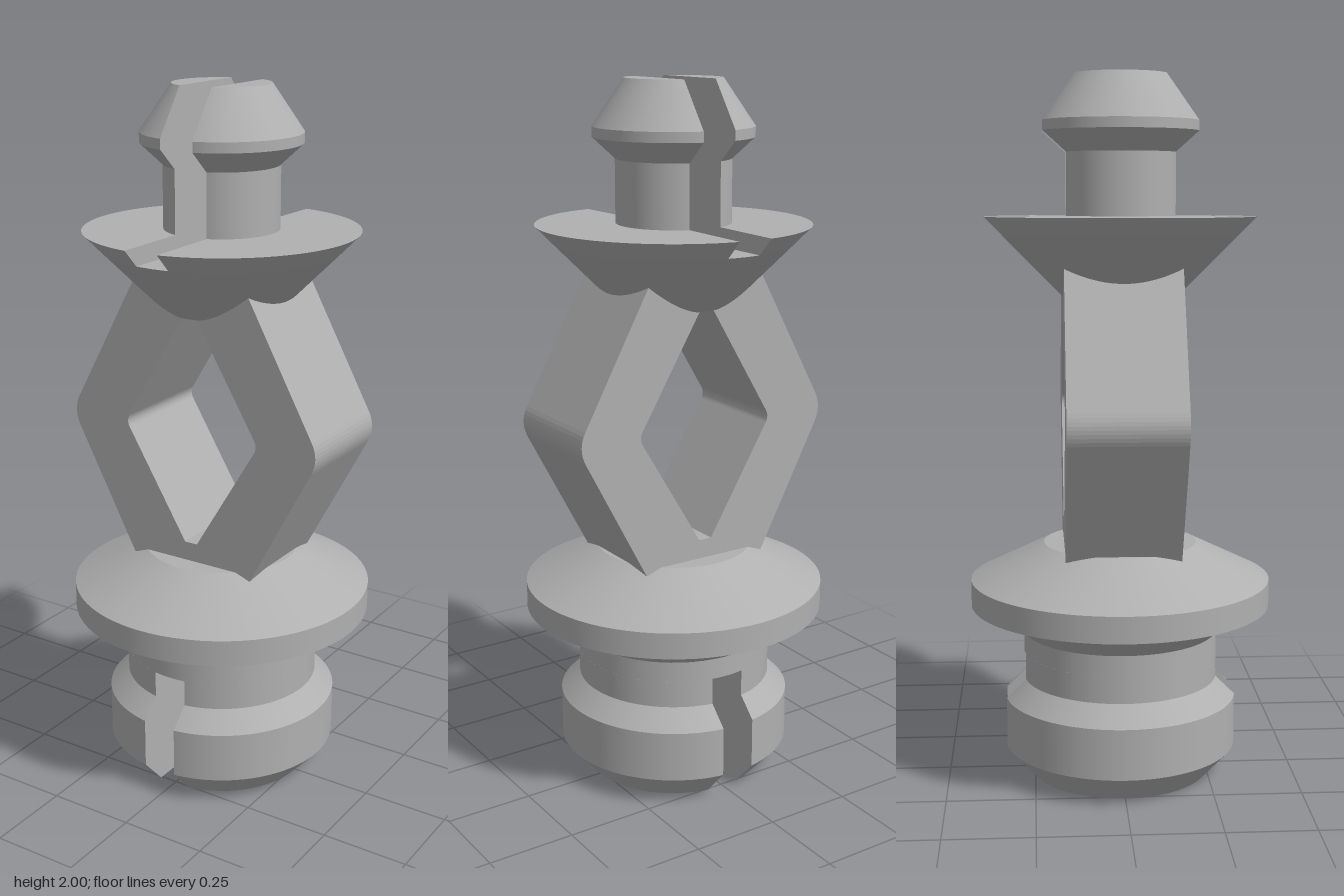
import * as THREE from 'three';

const SEG = 72;
const SLOT = 0.05; // half width of the screwdriver-like slots

// Revolved solid from [radius, y] pairs (bottom to top), with crisp profile edges.
// With cut > 0 only the part with x > cut is built, closed by a flat wall.
function revolve(profile, cut = 0) {
  const pos = [], nor = [], idx = [];
  const span = r => (cut ? Math.acos(Math.min(1, cut / r)) : Math.PI);
  const half = r => Math.sqrt(Math.max(0, r * r - cut * cut));
  for (let k = 0; k < profile.length - 1; k++) {
    const [r1, y1] = profile[k], [r2, y2] = profile[k + 1];
    const len = Math.hypot(r2 - r1, y2 - y1);
    const nr = (y2 - y1) / len, ny = (r1 - r2) / len;
    const base = pos.length / 3;
    for (let i = 0; i <= SEG; i++) {
      for (const [r, y] of [profile[k], profile[k + 1]]) {
        const a = span(r) * (2 * i / SEG - 1);
        pos.push(r * Math.cos(a), y, r * Math.sin(a));
        nor.push(nr * Math.cos(a), ny, nr * Math.sin(a));
      }
      if (i < SEG) {
        const p = base + 2 * i;
        idx.push(p, p + 1, p + 2, p + 2, p + 1, p + 3);
      }
    }
    // flat slot wall
    if (cut && y1 !== y2) {
      const b = pos.length / 3, w1 = half(r1), w2 = half(r2);
      pos.push(cut, y1, -w1, cut, y1, w1, cut, y2, w2, cut, y2, -w2);
      for (let i = 0; i < 4; i++) nor.push(-1, 0, 0);
      idx.push(b, b + 1, b + 2, b, b + 2, b + 3);
    }
  }
  const g = new THREE.BufferGeometry();
  g.setAttribute('position', new THREE.Float32BufferAttribute(pos, 3));
  g.setAttribute('normal', new THREE.Float32BufferAttribute(nor, 3));
  g.setIndex(idx);
  return g;
}

// Mirror-symmetric outline: right side given bottom to top, with a rounded bend in the middle
function diamond(target, bottom, bendLow, tip, bendHigh, top) {
  target.moveTo(bottom[0], bottom[1]);
  target.lineTo(bendLow[0], bendLow[1]);
  target.quadraticCurveTo(tip[0], tip[1], bendHigh[0], bendHigh[1]);
  target.lineTo(top[0], top[1]);
  target.lineTo(-top[0], top[1]);
  target.lineTo(-bendHigh[0], bendHigh[1]);
  target.quadraticCurveTo(-tip[0], tip[1], -bendLow[0], bendLow[1]);
  target.lineTo(-bottom[0], bottom[1]);
  target.closePath();
  return target;
}

export function createModel() {
  const model = new THREE.Group();
  const grey = new THREE.MeshStandardMaterial({ color: 0xb0b0b0 });
  grey.name = 'grey plastic';

  const add = (name, geometry, parent = model) => {
    const mesh = new THREE.Mesh(geometry, grey);
    mesh.name = name;
    parent.add(mesh);
    return mesh;
  };
  const addSlotted = (name, profile) => {
    const group = new THREE.Group();
    group.name = name;
    const g = revolve(profile, SLOT);
    add(name + 'Left', g, group);
    add(name + 'Right', g, group).rotation.y = Math.PI;
    model.add(group);
  };

  // Slotted foot plug
  addSlotted('footPlug', [
    [SLOT, 0], [0.26, 0], [0.335, 0.083], [0.335, 0.228], [0.28, 0.283], [0.28, 0.36], [SLOT, 0.36],
  ]);

  // Neck and wide flange above the foot slot
  add('flange', revolve([
    [0, 0.36], [0.28, 0.36], [0.28, 0.42], [0.36, 0.5], [0.431, 0.5],
    [0.431, 0.575], [0.22, 0.68], [0, 0.68],
  ]));

  // Springy diamond frame, ends buried in the flange and the collar
  const frame = diamond(new THREE.Shape(),
    [0.173, 0.62], [0.385, 1.02], [0.408, 1.065], [0.385, 1.108], [0.155, 1.53]);
  frame.holes.push(diamond(new THREE.Path(),
    [0.02, 0.735], [0.207, 1.045], [0.218, 1.063], [0.207, 1.082], [0.005, 1.42]));
  const frameGeo = new THREE.ExtrudeGeometry(frame, { depth: 0.324, bevelEnabled: false, curveSegments: 8 });
  frameGeo.translate(0, 0, -0.162);
  add('diamondFrame', frameGeo);

  // Conical collar below the head slot
  add('collar', revolve([[0, 1.39], [0.165, 1.39], [0.334, 1.56], [0, 1.56]]));

  // Slotted collar rim, stem and barbed head
  addSlotted('head', [
    [SLOT, 1.56], [0.334, 1.56], [0.383, 1.61], [0.16, 1.612], [0.16, 1.787],
    [0.222, 1.845], [0.222, 1.873], [0.135, 2], [SLOT, 2],
  ]);

  return model;
}
